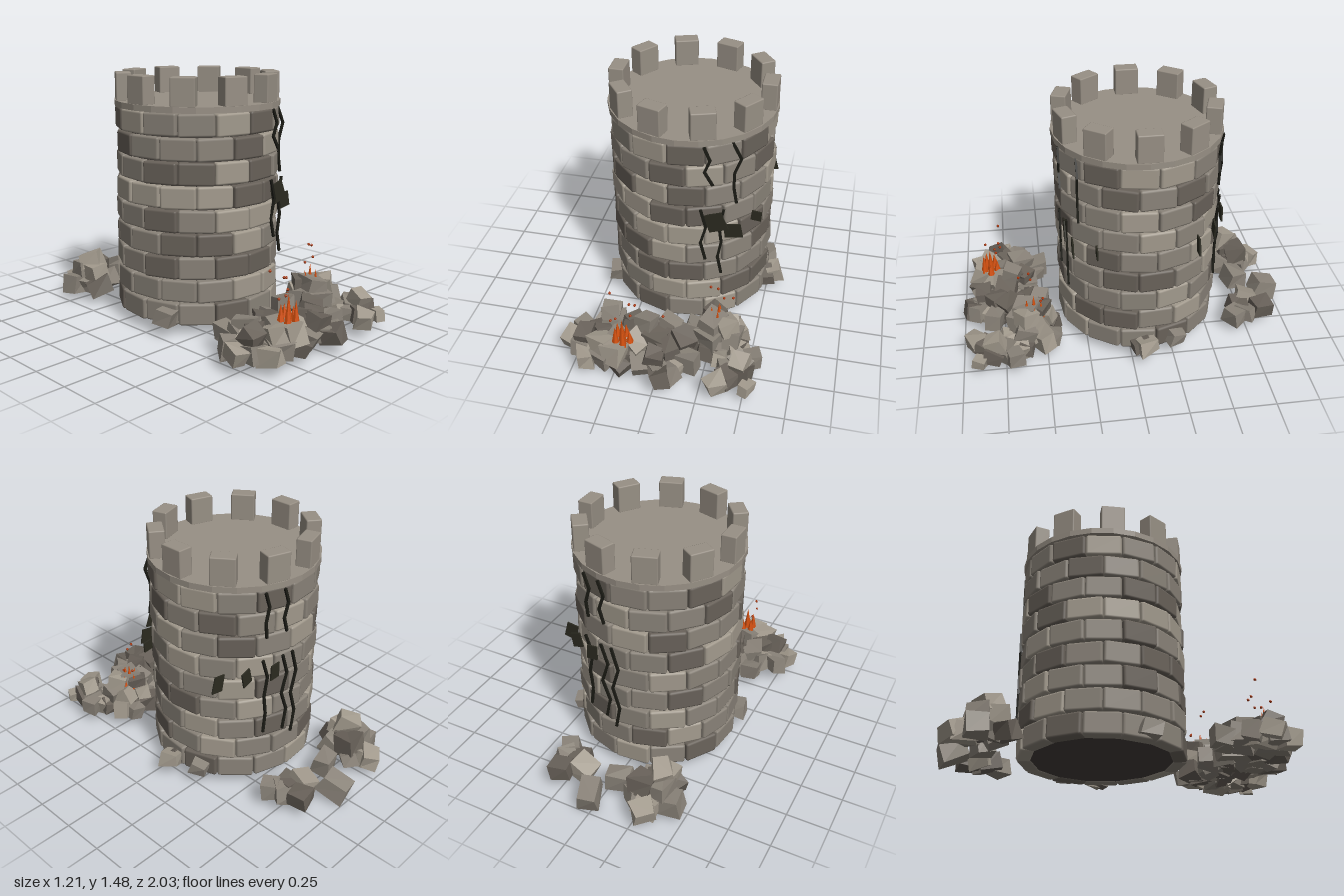
import * as THREE from 'three';
import { RoundedBoxGeometry } from 'three/addons/geometries/RoundedBoxGeometry.js';

const material = (name, color) => {
  const m = new THREE.MeshStandardMaterial({ color });
  m.name = name;
  return m;
};

// small seeded generator
let seed = 7;
const rnd = () => {
  seed = (seed * 16807) % 2147483647;
  return seed / 2147483647;
};
const spread = (a) => (rnd() * 2 - 1) * a;

const CX = 0.01, CZ = -0.09; // tower axis

export function createModel() {
  seed = 7;
  const L = material('light stone', 0xa29a8d);
  const M = material('grey stone', 0x8a8379);
  const D = material('dark stone', 0x69625a);
  const cap = material('cap stone', 0x989085);
  const mortar = material('mortar', 0x433d39);
  const crackMat = material('crack black', 0x1c1c16);
  const shardMat = material('shard black', 0x2b2a20);
  const flameMat = material('flame orange', 0xd4500f);
  const emberMat = material('ember red', 0xa53408);
  const stone = { L, M, D };

  const model = new THREE.Group();
  model.name = 'ruinedTower';
  const group = (name, parent = model) => {
    const g = new THREE.Group();
    g.name = name;
    parent.add(g);
    return g;
  };
  const add = (parent, name, geo, mat, x = 0, y = 0, z = 0) => {
    const m = new THREE.Mesh(geo, mat);
    m.name = name;
    m.position.set(x, y, z);
    parent.add(m);
    return m;
  };
  const faceted = (geo) => {
    const flat = geo.toNonIndexed();
    flat.computeVertexNormals();
    return flat;
  };

  // tower core and top slab
  const tower = group('tower');
  tower.position.set(CX, 0, CZ);
  add(tower, 'core', new THREE.CylinderGeometry(0.445, 0.445, 1.22, 28), mortar, 0, 0.645, 0);
  add(tower, 'topSlab', faceted(new THREE.CylinderGeometry(0.495, 0.495, 0.035, 24)), cap, 0, 1.2675, 0);

  // brick courses, bottom to top; each starts right of the front and runs towards +x
  const courses = [
    'MMDMLMMDMMLMDM', 'MMMLLDDMLMMDLM', 'DMDDMMMLMDMLMM',
    'MDDLMMDDMLMMDM', 'DMLLLDMMLDMLMM', 'LLLDDMMLMLMMDL',
    'DDLDMMLMDMLDMM', 'MMMDLMDMDMLMMD', 'MMLDMDLLMDMMDL',
  ];
  const COUNT = 14, ROW = 0.1362;
  const bricks = group('bricks', tower);
  const brickGeo = new RoundedBoxGeometry(0.208, 0.13, 0.085, 1, 0.014);
  courses.forEach((row, r) => {
    for (let i = 0; i < COUNT; i++) {
      const a = (i - 3 + (r % 2 ? -0.25 : 0.25)) * (Math.PI * 2 / COUNT);
      const rad = 0.436 + spread(0.006);
      const b = add(bricks, 'brick', brickGeo, stone[row[i]],
        Math.sin(a) * rad, 0.025 + (r + 0.5) * ROW, Math.cos(a) * rad);
      b.rotation.set(spread(0.025), a + spread(0.03), spread(0.02), 'YXZ');
    }
  });

  // battlements
  const merlons = group('merlons', tower);
  const merlonGeo = new RoundedBoxGeometry(0.14, 0.165, 0.09, 1, 0.007);
  for (let i = 0; i < 10; i++) {
    const a = Math.PI / 2 + i * Math.PI / 5;
    add(merlons, 'merlon', merlonGeo, cap, Math.sin(a) * 0.44, 1.3625, Math.cos(a) * 0.44).rotation.y = a;
  }

  // cracks: zigzag strips from y0 down to y1, with evenly spaced bends at the given x
  const cracks = group('cracks');
  const crack = (z, y0, y1, xs) => {
    const g = group('crack', cracks);
    const dy = (y0 - y1) / (xs.length - 1);
    for (let i = 1; i < xs.length; i++) {
      const dx = xs[i - 1] - xs[i];
      const geo = new THREE.BoxGeometry(0.015, Math.hypot(dx, dy) + 0.008, 0.012);
      add(g, 'crackSegment', geo, crackMat, (xs[i] + xs[i - 1]) / 2, y0 - (i - 0.5) * dy, z)
        .rotation.z = -Math.atan2(dx, dy);
    }
  };
  crack(0.375, 1.24, 1.01, [0.165, 0.198, 0.168, 0.213]);
  crack(0.287, 1.24, 0.85, [0.305, 0.355, 0.32, 0.318, 0.335]);
  crack(0.38, 0.83, 0.49, [0.15, 0.18, 0.15, 0.178]);
  crack(0.35, 0.83, 0.38, [0.275, 0.25, 0.265, 0.245, 0.267]);
  crack(-0.572, 1.24, 0.98, [0.13, 0.1, 0.13, 0.105]);
  crack(-0.535, 1.24, 0.97, [0.24, 0.21, 0.235, 0.225]);
  crack(-0.535, 0.83, 0.35, [0.25, 0.21, 0.235, 0.22, 0.235]);
  crack(-0.573, 0.83, 0.33, [0.13, 0.09, 0.13, 0.085, 0.11]);
  crack(-0.582, 0.83, 0.28, [0.06, 0.02, 0.06, 0.02, 0.045]);

  // dark shards: thin tilted plates around the damaged spots
  const shards = group('shards');
  const shard = (x, y, z, w, h, tilt) => {
    const shape = new THREE.Shape([[-0.5, -0.4], [0.45, -0.5], [0.5, 0.4], [-0.4, 0.5]]
      .map(([u, v]) => new THREE.Vector2(u * w, v * h)));
    const geo = new THREE.ExtrudeGeometry(shape, { depth: 0.009, bevelEnabled: false });
    add(shards, 'shard', geo, shardMat, x, y, z).rotation.z = tilt;
  };
  shard(0.23, 0.745, 0.355, 0.12, 0.13, 0.45);
  shard(0.325, 0.675, 0.318, 0.11, 0.1, 0.25);
  shard(0.44, 0.705, 0.19, 0.065, 0.07, 0);
  shard(0.445, 0.705, -0.39, 0.08, 0.11, 0.3);
  shard(0.337, 0.745, -0.5, 0.07, 0.1, -0.15);
  shard(0.19, 0.755, -0.575, 0.07, 0.1, 0.1);

  // rubble stone: a box with its corners knocked about
  const rubble = group('rubble');
  const stoneGeo = (s) => {
    const geo = new THREE.BoxGeometry(s * (1 + spread(0.15)), s * 0.8, s * (0.9 + spread(0.15)));
    const p = geo.attributes.position, moved = {};
    for (let i = 0; i < p.count; i++) {
      const corner = [p.getX(i), p.getY(i), p.getZ(i)];
      const k = corner.map(Math.sign).join();
      moved[k] ??= [spread(0.11 * s), spread(0.11 * s), spread(0.11 * s)];
      p.setXYZ(i, ...corner.map((c, n) => c + moved[k][n]));
    }
    return faceted(geo);
  };
  const rock = (x, z, y, s) => {
    const t = rnd();
    add(rubble, 'rubbleStone', stoneGeo(s), t < 0.3 ? D : t < 0.8 ? M : L, x, y, z)
      .rotation.set(spread(0.3), rnd() * 3, spread(0.3));
  };

  // heap: spiral layers of stones that shrink towards the top
  const heap = (x, z, rx, rz, layers) => layers.forEach((count, l) => {
    for (let i = 0; i < count; i++) {
      const a = i * 2.4 + l, t = Math.sqrt((i + 0.5) / count) * (1 - 0.25 * l);
      rock(x + Math.cos(a) * t * rx, z + Math.sin(a) * t * rz, 0.068 + 0.075 * l + spread(0.008), 0.115 + spread(0.018));
    }
  });
  heap(-0.28, 0.74, 0.27, 0.2, [19, 9]);
  heap(0.03, 0.75, 0.17, 0.18, [12, 4]);
  heap(0.29, 0.58, 0.17, 0.14, [11, 7, 3]);
  heap(0.43, 0.75, 0.12, 0.12, [7, 1]);
  heap(-0.31, -0.77, 0.13, 0.13, [7, 4, 1]);
  heap(0.26, -0.76, 0.11, 0.13, [5]);
  // single stones around the heaps and against the wall
  rock(0, 0.53, 0.07, 0.12);
  rock(-0.36, 0.52, 0.07, 0.12);
  rock(-0.1, 0.69, 0.22, 0.1);
  rock(0.35, 0.92, 0.07, 0.11);
  rock(0.52, 0.9, 0.05, 0.08);
  rock(0.03, 0.925, 0.07, 0.12);
  rock(-0.3, -0.92, 0.06, 0.12);
  rock(-0.07, -0.76, 0.07, 0.13);
  rock(0.03, -0.92, 0.06, 0.14);
  rock(0.54, -0.08, 0.08, 0.1);
  rock(0.5, -0.05, 0.07, 0.1);
  rock(0.47, -0.26, 0.08, 0.1);
  rock(-0.43, 0.11, 0.08, 0.11);

  // fires: a tall flame ringed by shorter ones
  const flames = group('flames');
  const fire = (x, z, count) => {
    for (let i = 0; i <= count; i++) {
      const h = i ? 0.14 - 0.012 * i : 0.155, out = i ? 0.042 : 0, a = i * Math.PI * 2 / count;
      add(flames, 'flame', faceted(new THREE.ConeGeometry(0.023, h, 6)), flameMat,
        x + Math.cos(a) * out, 0.18 + h / 2, z + Math.sin(a) * out);
    }
  };
  fire(-0.205, 0.82, 5);
  fire(0.3, 0.565, 4);

  // flying embers
  const embers = group('embers');
  const emberGeo = new THREE.IcosahedronGeometry(0.009, 0);
  [
    [-0.285, 0.465, 0.755], [-0.175, 0.405, 0.76], [-0.145, 0.395, 0.75], [-0.26, 0.345, 0.845],
    [-0.165, 0.34, 0.78], [-0.25, 0.31, 0.79], [-0.01, 0.245, 0.65],
    [0.255, 0.465, 0.585], [0.295, 0.45, 0.575], [0.375, 0.35, 0.525], [0.32, 0.325, 0.51],
  ].forEach((e) => add(embers, 'ember', emberGeo, emberMat, ...e));

  return model;
}
